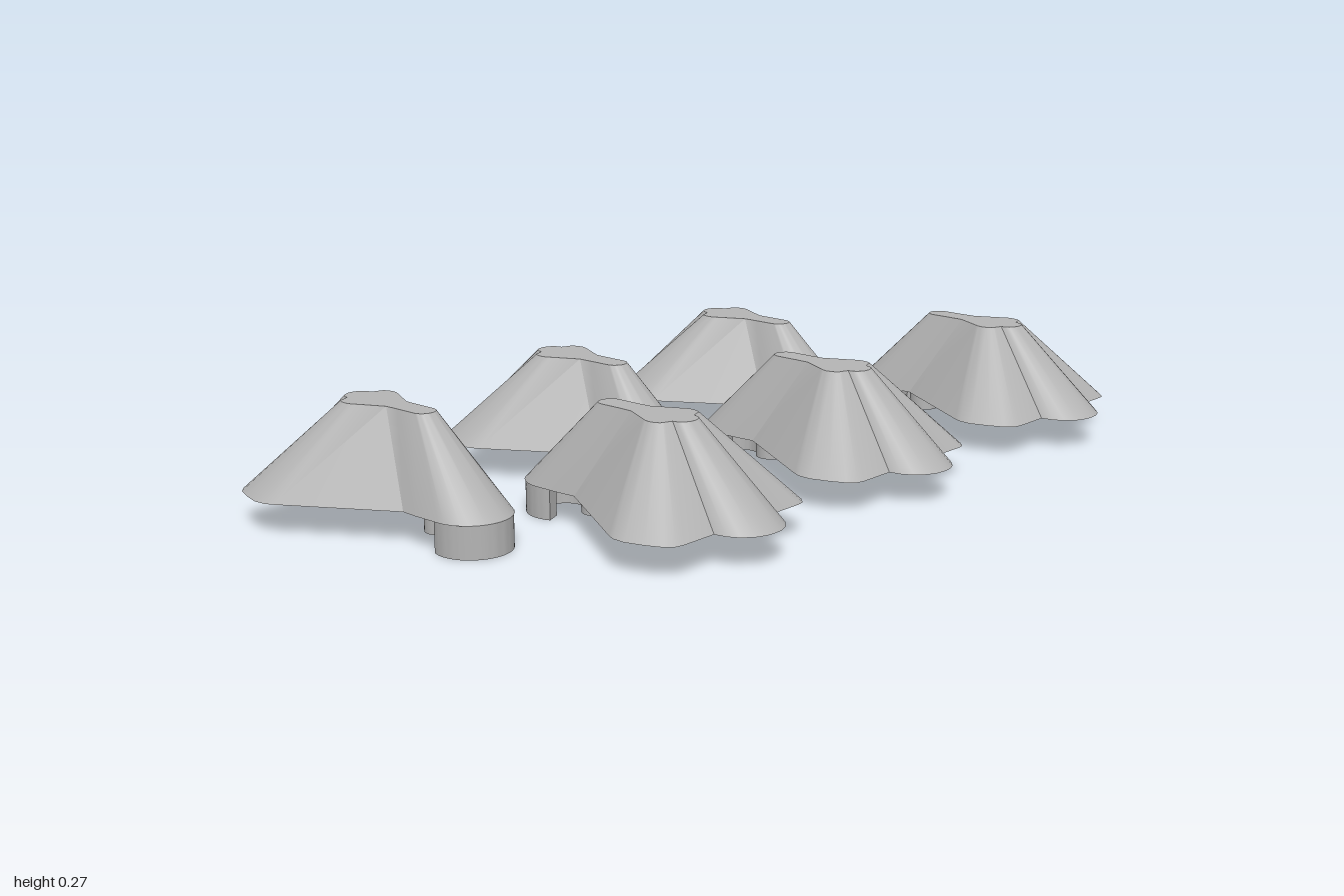
import * as THREE from 'three';
import { toCreasedNormals } from 'three/addons/utils/BufferGeometryUtils.js';

const BASE = 0.073, TOP = 0.267;

// Closed outline [x, z]: rounded tip, then flank points, mirrored across z = 0
function outline(tipX, r, flank) {
  const half = [];
  for (let i = 0; i <= 8; i++) {
    const a = (i / 8) * Math.PI / 2;
    half.push([tipX - r + r * Math.cos(a), r * Math.sin(a)]);
  }
  half.push(...flank);
  const back = half.slice(1, -1).reverse().map(([x, z]) => [x, -z]);
  return [...half, ...back];
}

// Matching points: neck, wing tip, wing rear, rounded tail
const lower = outline(0.107, 0.09, [
  [-0.05, 0.09], [-0.093, 0.087], [-0.335, 0.232], [-0.355, 0.241], [-0.385, 0.243],
  [-0.43, 0.23], [-0.465, 0.215], [-0.482, 0.198], [-0.486, 0.18], [-0.486, 0.088],
  [-0.515, 0.083], [-0.54, 0.07], [-0.56, 0.047], [-0.57, 0.022], [-0.572, 0]]);
const upper = outline(-0.093, 0.027, [
  [-0.17, 0.027], [-0.205, 0.028], [-0.27, 0.06], [-0.28, 0.065], [-0.29, 0.067],
  [-0.304, 0.065], [-0.315, 0.06], [-0.319, 0.054], [-0.32, 0.048], [-0.326, 0.033],
  [-0.336, 0.031], [-0.345, 0.026], [-0.351, 0.018], [-0.355, 0.009], [-0.356, 0]]);

// Sloped body lofted between the two outlines, capped at both ends
function bodyGeometry() {
  const pos = [];
  const n = lower.length;
  const lo = (i) => [lower[i % n][0], BASE, lower[i % n][1]];
  const hi = (i) => [upper[i % n][0], TOP, upper[i % n][1]];
  for (let i = 0; i < n; i++) {
    pos.push(...lo(i), ...hi(i), ...lo(i + 1));
    pos.push(...hi(i), ...hi(i + 1), ...lo(i + 1));
  }
  const cap = (pts, at, up) => {
    const contour = pts.map(([x, z]) => new THREE.Vector2(x, z));
    for (const [a, b, c] of THREE.ShapeUtils.triangulateShape(contour, [])) {
      const area = THREE.ShapeUtils.area([contour[a], contour[b], contour[c]]);
      const order = (area < 0) === up ? [a, b, c] : [a, c, b];
      order.forEach((i) => pos.push(...at(i)));
    }
  };
  cap(lower, lo, false);
  cap(upper, hi, true);
  const g = new THREE.BufferGeometry();
  g.setAttribute('position', new THREE.Float32BufferAttribute(pos, 3));
  return toCreasedNormals(g, 0.5);
}

// C-shaped clip under the tip, open toward the body
function clipGeometry() {
  const a = THREE.MathUtils.degToRad(113);
  const s = new THREE.Shape();
  s.absarc(0, 0, 0.084, -a, a, false);
  s.absarc(0, 0, 0.046, a, -a, true);
  const g = new THREE.ExtrudeGeometry(s, { depth: BASE, bevelEnabled: false, curveSegments: 24 });
  g.rotateX(-Math.PI / 2).translate(0.023, 0, 0);
  return toCreasedNormals(g, 0.5);
}

export function createModel() {
  const model = new THREE.Group();
  model.name = 'clipPieces';
  const grey = new THREE.MeshStandardMaterial({ color: 0xb4b4b4 });
  grey.name = 'grey';

  const pegHeight = BASE - 0.016;
  const peg = new THREE.CylinderGeometry(0.035, 0.035, pegHeight, 24);
  peg.translate(-0.077, 0.016 + pegHeight / 2, 0);
  const parts = { body: bodyGeometry(), clip: clipGeometry(), peg };

  const addPiece = (z, turned) => {
    const piece = new THREE.Group();
    piece.name = turned ? 'leftPiece' : 'rightPiece';
    for (const [name, geometry] of Object.entries(parts)) {
      const mesh = new THREE.Mesh(geometry, grey);
      mesh.name = name;
      piece.add(mesh);
    }
    piece.position.z = z;
    if (turned) piece.rotation.y = Math.PI;
    model.add(piece);
  };

  // Two staggered rows facing each other
  [-0.407, 0.178, 0.753].forEach((z) => addPiece(z, false));
  [-0.757, -0.142, 0.443].forEach((z) => addPiece(z, true));
  return model;
}
